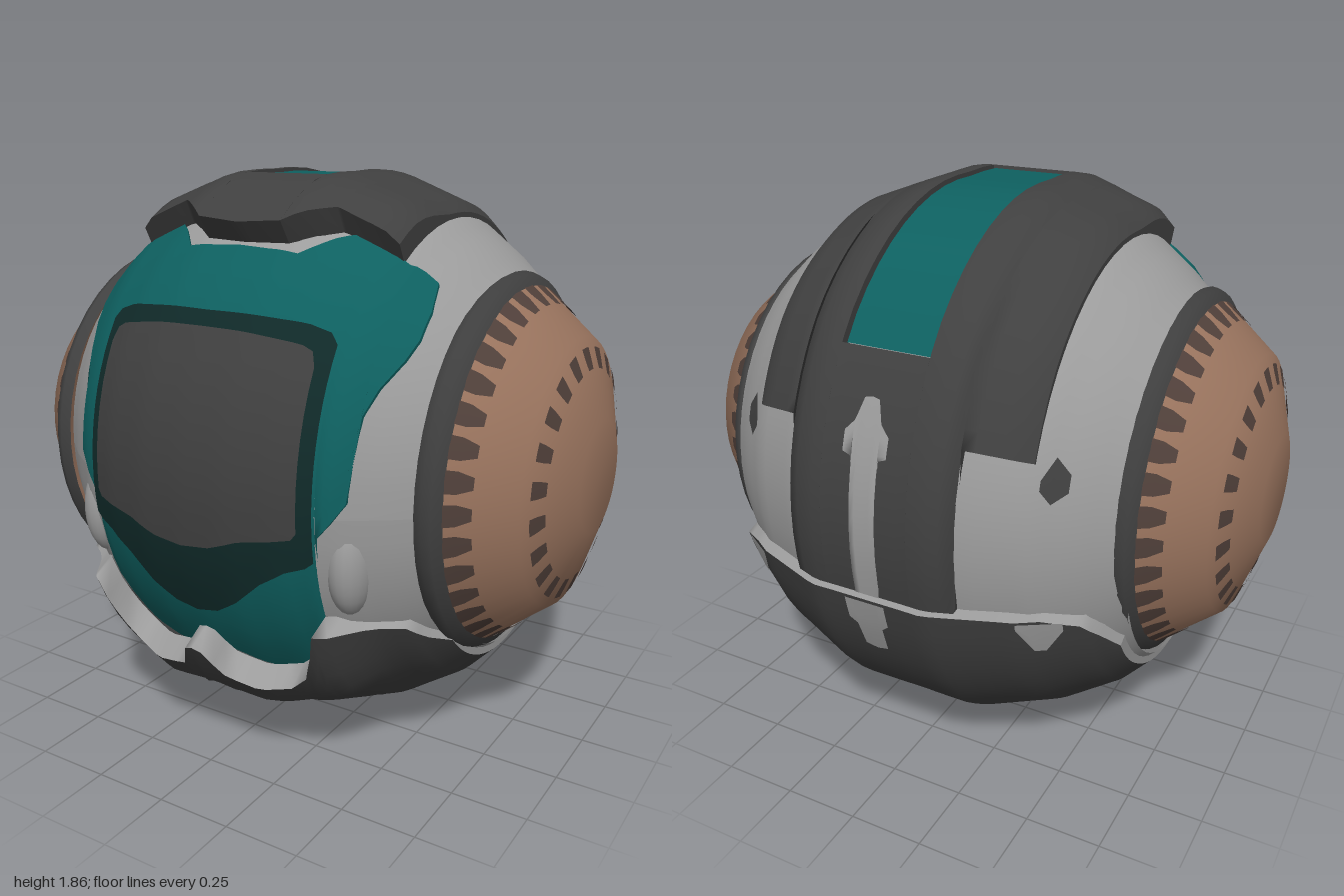
import * as THREE from 'three';
import { mergeGeometries } from 'three/addons/utils/BufferGeometryUtils.js';

// The ball is an ellipsoid swept round the x axis: angle 0 = front, 90 = top, 180 = back, 270 = bottom
const CY = 0.93, KY = 0.93, KZ = 0.87;
const RAD = Math.PI / 180;
const smooth = THREE.MathUtils.smoothstep;

const mat = (name, color) => {
  const m = new THREE.MeshStandardMaterial({ color, side: THREE.DoubleSide });
  m.name = name;
  return m;
};

// Piecewise linear profile, mirrored in x
const profile = (pts) => (x) => {
  const t = Math.abs(x);
  for (let i = 1; i < pts.length; i++) {
    const [x0, r0] = pts[i - 1], [x1, r1] = pts[i];
    if (t <= x1) return r0 + ((r1 - r0) * (t - x0)) / (x1 - x0);
  }
  return pts[pts.length - 1][1];
};

const bodyR = profile([[0, 0.97], [0.15, 0.962], [0.3, 0.925], [0.48, 0.848], [0.6, 0.755], [0.72, 0.64]]);
const strapR = profile([[0, 1], [0.2, 1], [0.44, 0.905], [0.48, 0.865]]);
const lowerR = profile([[0, 1], [0.2, 1], [0.45, 0.895], [0.62, 0.775], [0.7, 0.685]]);

// Surfaces: normalised radius at (x, angle)
const body = (x) => bodyR(x);
const above = (surf, d) => (x, a) => surf(x, a) + d;
const strap = (x, a) => {
  const c = Math.cos(a * RAD);
  return strapR(x) + 0.055 * smooth(c, 0.05, 0.42) - 0.01 * smooth(-c, 0.7, 0.95);
};
const lower = (x, a) => {
  const c = Math.cos(a * RAD), inner = 1 - smooth(Math.abs(x), 0.4, 0.55);
  return lowerR(x) + 0.085 * smooth(c, 0.55, 0.77) * inner + 0.015 * smooth(-c, 0.5, 0.9);
};

// Angle at which a surface reaches height y, on the front or the back
const front = (r, y) => Math.asin(THREE.MathUtils.clamp((y - CY) / (KY * r), -1, 1)) / RAD;
const back = (r, y) => 180 - front(r, y);

const flip = (cols) => cols.map(([x, a, b]) => [-x, a, b]).reverse();
const both = (cols) => [...flip(cols.filter((c) => c[0] > 0)), ...cols];

function gridGeometry(rows) {
  const n = rows[0].length, pos = rows.flat(2), idx = [];
  for (let i = 0; i < rows.length - 1; i++)
    for (let j = 0; j < n - 1; j++) {
      const p = i * n + j, q = p + n;
      idx.push(p, q, q + 1, p, q + 1, p + 1);
    }
  const g = new THREE.BufferGeometry();
  g.setAttribute('position', new THREE.Float32BufferAttribute(pos, 3));
  g.setIndex(idx);
  g.computeVertexNormals();
  return g;
}

// Curved plate over columns [x, startAngle, endAngle], with an optional rim going inwards
function panel(name, material, cols, surf, depth = 0, rimMaterial = material) {
  const group = new THREE.Group();
  group.name = name;
  const fine = [];
  cols.forEach((c, i) => {
    if (i) {
      const p = cols[i - 1], n = Math.max(1, Math.ceil((c[0] - p[0]) / 0.04));
      for (let k = 1; k < n; k++) fine.push(c.map((v, m) => p[m] + ((v - p[m]) * k) / n));
    }
    fine.push(c);
  });
  const steps = Math.max(2, Math.ceil(Math.max(...fine.map((c) => c[2] - c[1])) / 6));
  const at = (i, j, d) => {
    const [x, a0, a1] = fine[i], a = a0 + ((a1 - a0) * j) / steps, r = surf(x, a) - d;
    return [x, CY + KY * r * Math.sin(a * RAD), KZ * r * Math.cos(a * RAD)];
  };
  const js = [...Array(steps + 1).keys()], is = [...fine.keys()], last = fine.length - 1;
  const skin = new THREE.Mesh(gridGeometry(is.map((i) => js.map((j) => at(i, j, 0)))), material);
  skin.name = name + ' skin';
  group.add(skin);
  if (depth) {
    const loop = [...is.map((i) => [i, 0]), ...js.map((j) => [last, j]),
      ...is.map((i) => [last - i, steps]), ...js.map((j) => [0, steps - j])];
    const rim = new THREE.Mesh(gridGeometry(loop.map(([i, j]) => [at(i, j, 0), at(i, j, depth)])), rimMaterial);
    rim.name = name + ' rim';
    group.add(rim);
  }
  return group;
}

export function createModel() {
  const model = new THREE.Group();
  model.name = 'roundBall';
  const light = mat('light grey', 0x9c9c9c), dark = mat('dark grey', 0x404040);
  const teal = mat('teal', 0x0e6060), deep = mat('deep teal', 0x102a29);
  const brown = mat('brown', 0x9b755f), darkBrown = mat('dark brown', 0x50403a);
  const add = (...parts) => model.add(...parts);

  // Main shell
  add(panel('shell', light, both([[0, 0, 360], [0.15, 0, 360], [0.3, 0, 360], [0.48, 0, 360], [0.6, 0, 360], [0.72, 0, 360]]), body));

  // Front plates, given as [x, top y, bottom y]
  const frontCols = (c) => both(c.map(([x, t, b]) => [x, front(bodyR(x), b), front(bodyR(x), t)]));
  add(panel('facePlate', teal, frontCols([[0, 1.645, 0.42], [0.1, 1.64, 0.39], [0.2, 1.63, 0.36], [0.28, 1.67, 0.38],
    [0.34, 1.68, 0.42], [0.38, 1.665, 0.48], [0.41, 1.65, 0.55], [0.42, 1.645, 0.87], [0.46, 1.625, 0.92],
    [0.5, 1.6, 0.98], [0.515, 1.595, 1.22], [0.54, 1.58, 1.29], [0.58, 1.55, 1.36], [0.597, 1.48, 1.41]]), above(body, 0.012), 0.03));
  add(panel('screenFrame', deep, frontCols([[0, 1.47, 0.565], [0.08, 1.47, 0.58], [0.16, 1.468, 0.63], [0.25, 1.46, 0.71],
    [0.33, 1.45, 0.76], [0.39, 1.43, 0.78], [0.415, 1.4, 0.8]]), above(body, 0.02)));
  add(panel('screen', dark, frontCols([[0, 1.425, 0.8], [0.1, 1.423, 0.81], [0.2, 1.415, 0.845], [0.33, 1.395, 0.865],
    [0.36, 1.38, 0.87], [0.375, 1.34, 0.89]]), above(body, 0.028)));

  // Strap over the top and down the back, with a slot
  const sideStrap = [[0.15, 55, 194], [0.28, 62, 194], [0.29, 62, 158], [0.4, 61, 158], [0.48, 60, 158]];
  add(panel('strapSide', dark, sideStrap, strap, 0.1), panel('strapSide', dark, flip(sideStrap), strap, 0.1));
  add(panel('strapFront', dark, [[-0.15, 55, 73], [0, 54, 73], [0.15, 55, 73]], strap, 0.1));
  add(panel('strapBack', dark, [[-0.15, 143, 194], [0.15, 143, 194]], strap, 0.08));
  add(panel('slotStrip', teal, [[-0.148, 73.5, 142.7], [0.14, 73.5, 142.7]], above(strap, -0.012)));

  // Lower cover with horns and a central tip at the front, pale at the rim
  const chin = [[0, 0.44], [0.03, 0.43], [0.08, 0.34], [0.12, 0.33], [0.22, 0.32], [0.3, 0.335], [0.36, 0.39],
    [0.4, 0.49], [0.42, 0.57], [0.52, 0.57], [0.62, 0.565]];
  const cover = chin.map(([x, y]) => [x, back(lowerR(x), 0.745), 360 + front(lowerR(x) + (x < 0.5 ? 0.085 : 0), y)]);
  cover[cover.length - 1][1] = 197;
  cover.push([0.66, 203, 322], [0.7, 212, 315]);
  add(panel('lowerCover', dark, both(cover), lower, 0.1, light));

  // Cheek bulges beside the face plate
  for (const s of [1, -1]) {
    const cheek = new THREE.Mesh(new THREE.SphereGeometry(1, 20, 14), light);
    cheek.name = 'cheek';
    cheek.scale.set(0.07, 0.16, 0.09);
    cheek.position.set(0.475 * s, 0.77, 0.655);
    add(cheek);
  }

  // Back markings
  const backCols = (r, c) => c.map(([x, t, b]) => [x, back(r(x), t), back(r(x), b)]);
  add(panel('backArrow', light, both(backCols(strapR, [[0, 1.37, 0.75], [0.025, 1.365, 0.75], [0.042, 1.31, 0.75],
    [0.046, 1.3, 1.2], [0.075, 1.27, 1.21]])), above(strap, 0.007)));
  add(panel('backArrowTail', light, both(backCols(lowerR, [[0, 0.74, 0.54], [0.04, 0.74, 0.55], [0.045, 0.74, 0.64],
    [0.07, 0.74, 0.66]])), above(lower, 0.007)));
  const spot = backCols(bodyR, [[0.5, 1.18, 1.15], [0.53, 1.24, 1.11], [0.57, 1.19, 1.14]]);
  const patch = backCols(lowerR, [[0.46, 0.74, 0.72], [0.5, 0.74, 0.63], [0.53, 0.74, 0.63], [0.58, 0.74, 0.71]]);
  for (const f of [(c) => c, flip]) {
    add(panel('backSpot', dark, f(spot), above(body, 0.008)));
    add(panel('backPatch', light, f(patch), above(lower, 0.007)));
  }

  // Side domes with a dark rim, teeth and a ring of spots
  const dome = [[0, 1], [0.18, 1], [0.43, 0.91], [0.58, 0.72]];
  const domeX = profile(dome);
  const lathe = (pts) => new THREE.LatheGeometry(pts.map(([r, x]) => new THREE.Vector2(r, x)), 48).rotateZ(-Math.PI / 2);
  const mark = (t, w0, r0, w1, r1) => {
    const p = (a, r) => [domeX(r) + 0.007, r * Math.cos(a), r * Math.sin(a)];
    const rm = (r0 + r1) / 2, wm = Math.max(w0, w1);
    return gridGeometry([[r0, w0], [rm, wm], [r1, w1]].map(([r, w]) => [p(t - w, r), p(t, r), p(t + w, r)]));
  };
  const marks = [];
  for (let i = 0; i < 36; i++) marks.push(mark((i * Math.PI) / 18, 0.035, 0.52, 0.06, 0.58));
  for (let i = 0; i < 22; i++) marks.push(mark((i * Math.PI) / 11, 0.06, 0.335, 0.07, 0.4));
  const domeParts = [
    ['dome', lathe([...dome].reverse()), brown],
    ['domeRim', lathe([[0.6, 0.66], [0.615, 0.69], [0.605, 0.715], [0.572, 0.737]]), dark],
    ['domeMarks', mergeGeometries(marks), darkBrown],
  ];
  for (const turn of [0, Math.PI]) {
    const side = new THREE.Group();
    side.name = 'sideDome';
    for (const [name, geo, m] of domeParts) {
      const mesh = new THREE.Mesh(geo, m);
      mesh.name = name;
      side.add(mesh);
    }
    side.rotation.y = turn;
    side.position.set(0, 0.95, 0.03);
    add(side);
  }
  return model;
}
